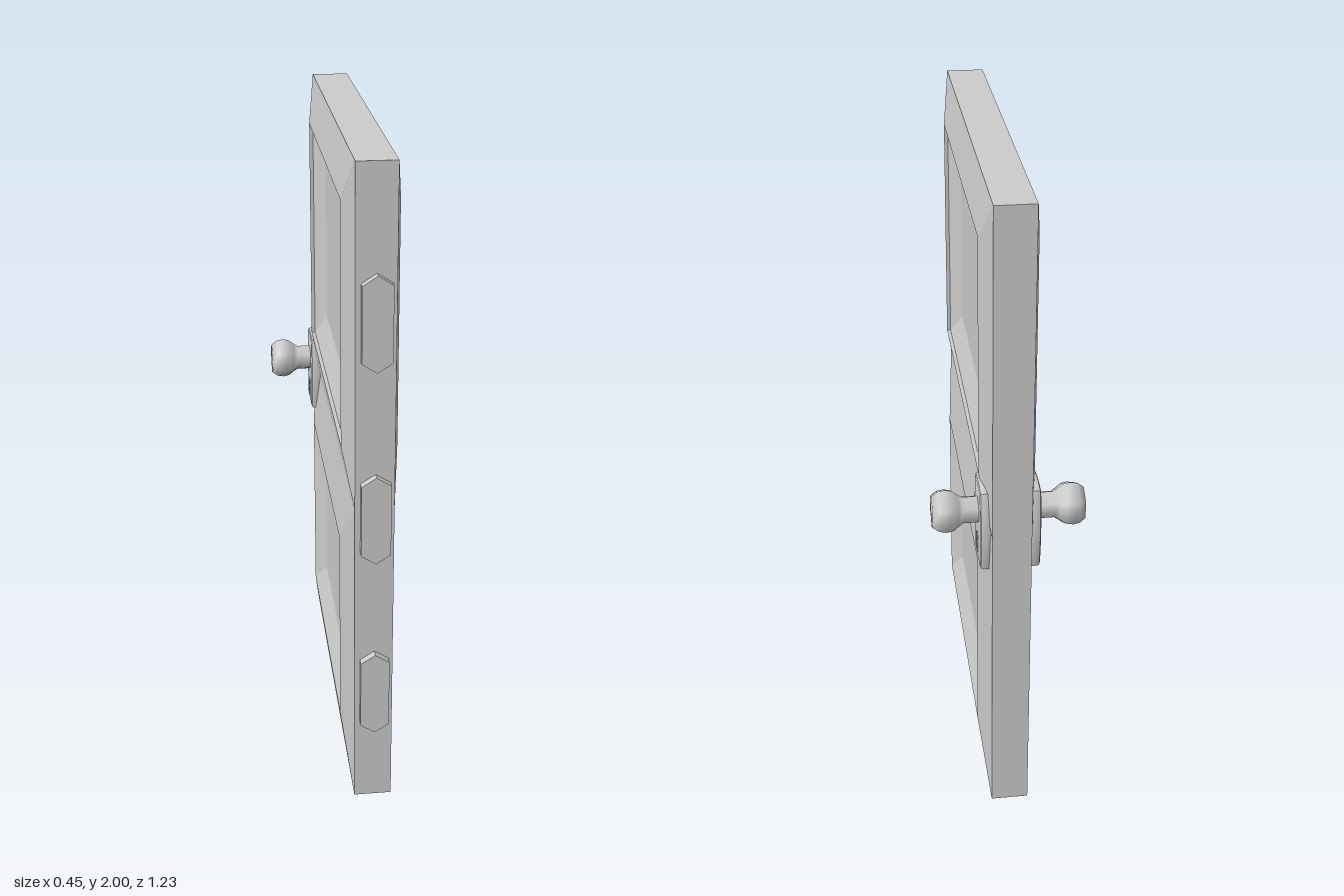
import * as THREE from 'three';
import { toCreasedNormals } from 'three/addons/utils/BufferGeometryUtils.js';

const material = new THREE.MeshStandardMaterial({ color: 0xcccccc });
const CX = 0.003; // middle of the door's thickness

function add(parent, name, geometry) {
  const mesh = new THREE.Mesh(geometry, material);
  mesh.name = name;
  parent.add(mesh);
  return mesh;
}

// Rectangular loop at depth x, counter-clockwise as seen from +x
const loop = (x, z0, z1, y0, y1) => [[x, y0, z1], [x, y0, z0], [x, y1, z0], [x, y1, z1]];

// Skin successive four-corner loops, optionally closing the last one
function skin(loops, cap, mirror) {
  const positions = [];
  const quad = (a, b, c, d) => {
    const corners = [a, b, c, a, c, d];
    if (mirror) corners.reverse();
    for (const [x, y, z] of corners) positions.push(mirror ? -x : x, y, z);
  };
  for (let k = 0; k + 1 < loops.length; k++) {
    for (let i = 0; i < 4; i++) {
      const j = (i + 1) % 4;
      quad(loops[k][i], loops[k][j], loops[k + 1][j], loops[k + 1][i]);
    }
  }
  if (cap) quad(...loops[loops.length - 1]);
  const geometry = new THREE.BufferGeometry();
  geometry.setAttribute('position', new THREE.Float32BufferAttribute(positions, 3));
  geometry.computeVertexNormals();
  return geometry;
}

// Knob profile: radius, distance from the door's middle
const knobProfile = [
  [0.043, 0.06], [0.043, 0.132], [0.052, 0.145], [0.066, 0.162],
  [0.07, 0.182], [0.066, 0.203], [0.052, 0.221], [0, 0.223],
].map(([r, h]) => new THREE.Vector2(r, h));

// Barrel-sided back plate outline
function plateShape() {
  const s = new THREE.Shape();
  s.moveTo(-0.06, -0.122);
  s.lineTo(0.06, -0.122);
  s.quadraticCurveTo(0.085, 0, 0.055, 0.118);
  s.quadraticCurveTo(0, 0.128, -0.055, 0.118);
  s.quadraticCurveTo(-0.085, 0, -0.06, -0.122);
  return s;
}

// Keyhole: round top with a flared foot
function keyholeShape() {
  const s = new THREE.Shape();
  s.moveTo(-0.015, -0.032);
  s.lineTo(0.015, -0.032);
  s.lineTo(0.006, 0.006);
  s.absarc(0, 0.018, 0.013, -1.1, Math.PI + 1.1, false);
  s.closePath();
  return s;
}

// Pointed hinge plate outline
function hingeShape() {
  const w = 0.043, h = 0.138, e = 0.11;
  return new THREE.Shape([[0, -h], [w, -e], [w, e], [0, h], [-w, e], [-w, -e]]
    .map(([x, y]) => new THREE.Vector2(x, y)));
}

export function createModel() {
  const model = new THREE.Group();
  model.name = 'door';

  // Slab edges
  const edge = 0.057, ridge = 0.082;
  const slab = new THREE.Group();
  slab.name = 'slab';
  slab.position.x = CX;
  model.add(slab);
  add(slab, 'slabEdges', skin([
    loop(-edge, -0.615, 0.592, 0, 2), loop(edge, -0.615, 0.592, 0, 2),
  ], false, false));

  // Sloping frames and recessed panels on both faces
  for (const mirror of [false, true]) {
    add(slab, 'upperPanel', skin([
      loop(edge, -0.615, 0.592, 1, 2),
      loop(ridge, -0.483, 0.46, 1.14, 1.866),
      loop(ridge - 0.012, -0.483, 0.46, 1.14, 1.866),
      loop(ridge - 0.044, -0.4, 0.37, 1.23, 1.777),
    ], true, mirror));
    add(slab, 'lowerPanel', skin([
      loop(edge, -0.615, 0.592, 0, 1),
      loop(ridge, -0.436, 0.413, 0.186, 0.817),
      loop(ridge - 0.034, -0.355, 0.33, 0.275, 0.732),
    ], true, mirror));
  }

  // Handle sets, built facing +z and turned to each face
  for (const side of [1, -1]) {
    const handle = new THREE.Group();
    handle.name = side > 0 ? 'leftHandle' : 'rightHandle';
    handle.rotation.y = side * Math.PI / 2;
    handle.position.set(CX, 0, -0.51);
    model.add(handle);

    const plate = new THREE.ExtrudeGeometry(plateShape(), {
      depth: 0.018, bevelThickness: 0.01, bevelSize: 0.008, bevelOffset: 0,
      bevelSegments: 2, curveSegments: 8,
    });
    add(handle, 'backPlate', toCreasedNormals(plate, 0.6)).position.set(0, 1, 0.06);

    const keyhole = new THREE.ExtrudeGeometry(keyholeShape(), { depth: 0.006, bevelEnabled: false, curveSegments: 6 });
    add(handle, 'keyhole', keyhole).position.set(0, 0.928, 0.085);

    const knob = new THREE.LatheGeometry(knobProfile, 6);
    knob.rotateX(Math.PI / 2);
    add(handle, 'knob', knob).position.y = 1.037;
  }

  // Hinges
  for (const y of [0.387, 0.972, 1.562]) {
    const hinge = new THREE.ExtrudeGeometry(hingeShape(), { depth: 0.03, bevelEnabled: false });
    add(model, 'hinge', hinge).position.set(0.005, y, 0.586);
  }

  return model;
}
